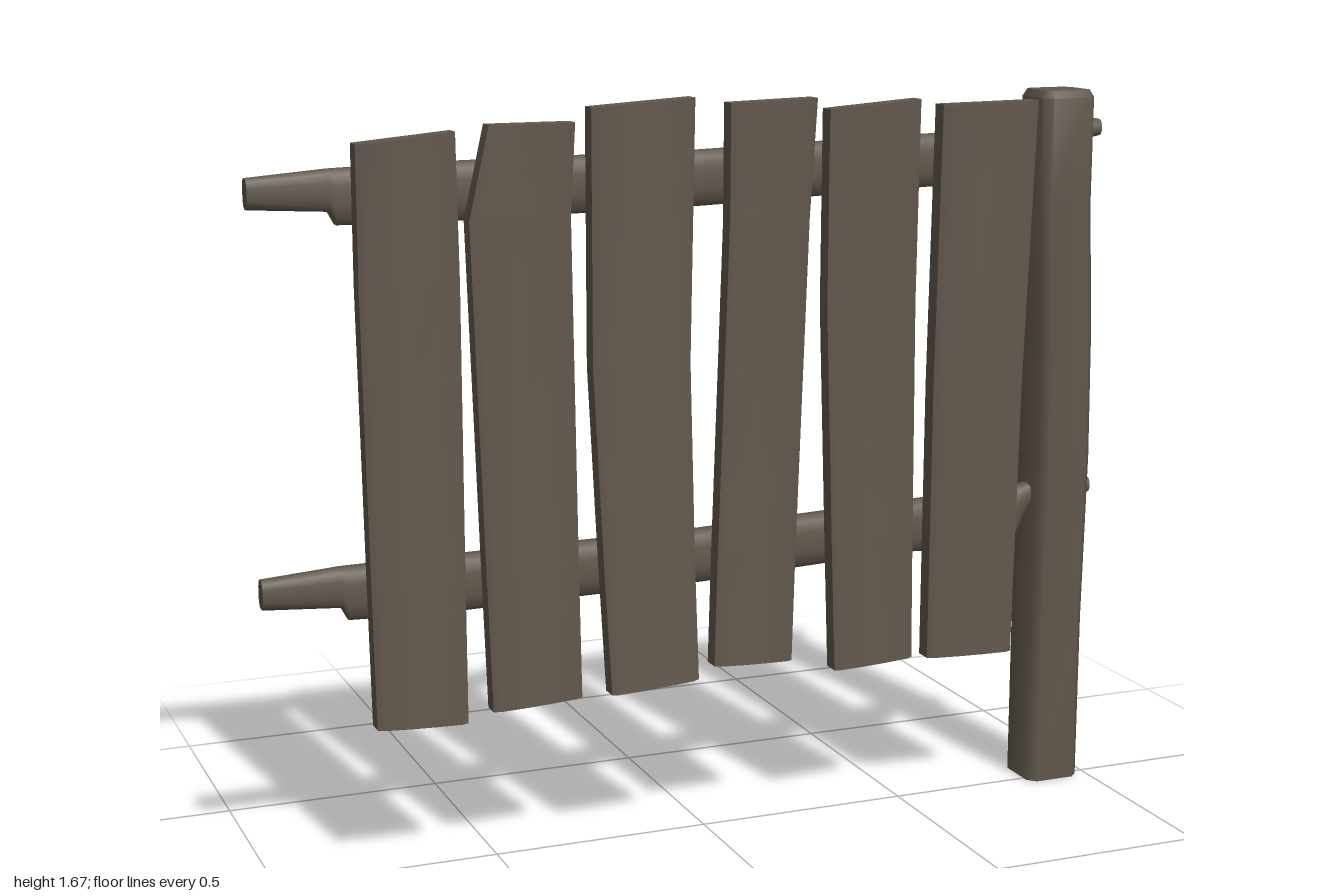
import * as THREE from 'three';
import { toCreasedNormals } from 'three/addons/utils/BufferGeometryUtils.js';

const wood = new THREE.MeshStandardMaterial({ color: 0x62584d });
wood.name = 'weatheredWood';
const { lerp } = THREE.MathUtils;

// Skin a list of equal-length rings and close both ends
function loft(rings, crease) {
  const n = rings[0].length;
  const index = [];
  for (let r = 0; r < rings.length - 1; r++) {
    for (let i = 0; i < n; i++) {
      const a = r * n + i, b = r * n + (i + 1) % n;
      index.push(a, b, b + n, a, b + n, a + n);
    }
  }
  const last = (rings.length - 1) * n;
  for (let i = 1; i < n - 1; i++) {
    index.push(0, i + 1, i, last, last + i, last + i + 1);
  }
  const g = new THREE.BufferGeometry();
  g.setAttribute('position', new THREE.Float32BufferAttribute(rings.flat(2), 3));
  g.setIndex(index);
  return toCreasedNormals(g, crease);
}

function part(name, geometry) {
  const mesh = new THREE.Mesh(geometry, wood);
  mesh.name = name;
  return mesh;
}

// Plank: bottom, mid and top are its edges in x and y, z its back face,
// twist the z change from left to right, kick the forward lean of the foot
function plank({ bottom, mid, top, z, twist, kick }) {
  const [bl, bly, br, bry] = bottom, [ml, mr, my] = mid, [tl, tly, tr, try_] = top;
  const t = (0.65 - bly) / (my - bly);
  const sections = [
    [bl, bly, br, bry, z + kick],
    [lerp(bl, ml, t), 0.65, lerp(br, mr, t), 0.65, z + kick * 0.5],
    [ml, my, mr, my, z],
    [tl, tly, tr, try_, z + 0.005],
  ];
  // Slightly crowned front: [depth, position across the width]
  const half = [[0, 0], [0.04, 0], [0.047, 0.07], [0.05, 0.35]];
  const outline = [...half, ...half.map(([d, w]) => [d, 1 - w]).reverse()];
  return loft(sections.map(([x0, y0, x1, y1, back]) =>
    outline.map(([d, w]) => [lerp(x0, x1, w), lerp(y0, y1, w), back + twist * w + d])), 0.7);
}

const PLANKS = [
  { bottom: [-0.78, 0.345, -0.58, 0.34], mid: [-0.79, -0.575, 1.3],
    top: [-0.79, 1.6, -0.58, 1.62], z: 0.01, twist: 0.01, kick: 0.01 },
  { bottom: [-0.52, 0.355, -0.315, 0.365], mid: [-0.55, -0.325, 1.43],
    top: [-0.505, 1.63, -0.315, 1.63], z: 0.012, twist: 0, kick: 0.01 },
  { bottom: [-0.255, 0.37, -0.05, 0.385], mid: [-0.28, -0.055, 1.1],
    top: [-0.28, 1.66, -0.045, 1.675], z: 0.015, twist: 0.004, kick: 0.036 },
  { bottom: [0, 0.4, 0.195, 0.39], mid: [0.04, 0.235, 1.4],
    top: [0.04, 1.66, 0.25, 1.665], z: 0.014, twist: -0.01, kick: 0.01 },
  { bottom: [0.3, 0.355, 0.505, 0.36], mid: [0.275, 0.502, 1.2],
    top: [0.275, 1.64, 0.505, 1.655], z: 0.015, twist: -0.015, kick: 0.007 },
  { bottom: [0.55, 0.35, 0.76, 0.35], mid: [0.556, 0.775, 1],
    top: [0.565, 1.64, 0.795, 1.645], z: -0.007, twist: 0.021, kick: 0.006 },
];

// Rail sections along x: [x, centre y, half height, centre z, half depth]
const RAIL = [
  [-1, 1.497, 0.033, -0.042, 0.022],
  [-0.83, 1.499, 0.045, -0.035, 0.025],
  [-0.815, 1.485, 0.06, -0.034, 0.026],
  [-0.62, 1.488, 0.064, -0.017, 0.029],
  [0, 1.494, 0.062, -0.02, 0.03],
  [0.5, 1.507, 0.061, -0.043, 0.031],
  [0.8, 1.516, 0.06, -0.042, 0.03],
  [0.84, 1.555, 0.03, -0.038, 0.027],
  [1, 1.572, 0.02, -0.028, 0.025],
];

// Rounded rail, lowered by drop, with its right shoulder deepened by sag
function rail(drop, sag) {
  const sides = 12;
  const soft = (v) => Math.sign(v) * Math.abs(v) ** 0.7;
  return loft(RAIL.map(([x, y, h, z, d]) => {
    const extra = x === 0.8 ? sag : 0;
    return Array.from({ length: sides }, (_, i) => {
      const a = (i + 0.5) / sides * Math.PI * 2;
      return [x, y - drop - extra + soft(Math.cos(a)) * (h + extra), z + soft(Math.sin(a)) * d];
    });
  }), 0.9);
}

// Square post with chamfered corners, gently bowed, with a bevelled top
function post() {
  const c = 0.72;
  const outline = [[1, -c], [1, c], [c, 1], [-c, 1], [-1, c], [-1, -c], [-c, -1], [c, -1]];
  const sections = [
    [0, 0.908, 0.067], [0.4, 0.908, 0.067], [0.8, 0.914, 0.068], [1.1, 0.91, 0.068],
    [1.4, 0.898, 0.067], [1.645, 0.898, 0.067], [1.662, 0.898, 0.058]];
  return loft(sections.map(([y, x, h]) =>
    outline.map(([w, u]) => [x + u * h, y, w * h - 0.033])), 0.85);
}

export function createModel() {
  const fence = new THREE.Group();
  fence.name = 'fenceSection';

  const planks = new THREE.Group();
  planks.name = 'planks';
  PLANKS.forEach((p, i) => planks.add(part(`plank${i + 1}`, plank(p))));

  fence.add(
    planks,
    part('upperRail', rail(0, 0)),
    part('lowerRail', rail(0.853, 0.012)),
    part('post', post()),
  );
  return fence;
}
